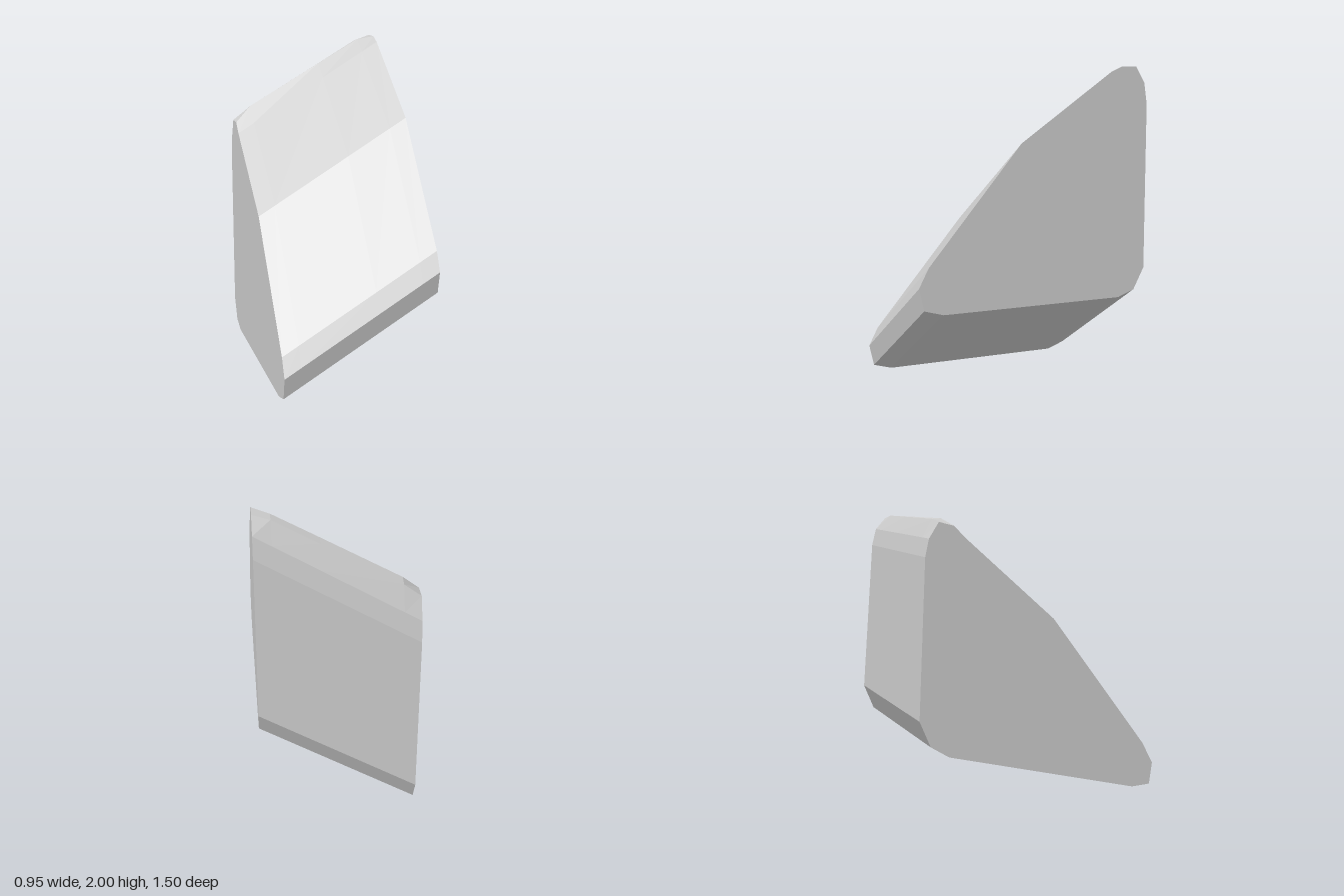
import * as THREE from 'three';

// Cross-section as [z, y], y measured from the sloping base line; clockwise seen from +x
const profile = [
  [0.60, 0.01], [0.72, 0.045], [0.75, 0.18], [0.69, 0.295], [0.10, 0.99],
  [-0.50, 1.40], [-0.57, 1.43], [-0.67, 1.43], [-0.73, 1.33], [-0.75, 1.20],
  [-0.75, 0.18], [-0.68, 0.045], [-0.57, 0.005],
];
const RIDGE = [6, 7]; // the two crest points of the profile

// Stations along x: the crest swells slightly between the two flat ends
const stations = [
  { x: -0.473, swell: 0.03 },
  { x: -0.37, swell: 0.065 },
  { x: 0.1, swell: 0.05 },
  { x: 0.37, swell: 0.04 },
  { x: 0.473, swell: 0 },
];

function shearedBlock() {
  const n = profile.length;
  const pos = [];
  const index = [];
  stations.forEach(({ x, swell }, s) => {
    const inner = s > 0 && s < stations.length - 1;
    const lift = 0.57 * (x + 0.473) / 0.946;
    profile.forEach(([z, y], j) => {
      const crest = RIDGE.includes(j);
      const dz = inner && j === 6 ? -0.045 : 0;
      const dy = crest ? (j === 7 && inner ? swell * 0.7 : swell) : 0;
      pos.push(x, y + lift + dy, z + dz);
    });
  });
  // Side walls
  for (let s = 0; s < stations.length - 1; s++) {
    for (let j = 0; j < n; j++) {
      const k = (j + 1) % n;
      const a = s * n + j, b = a + n, c = (s + 1) * n + k, d = s * n + k;
      index.push(a, b, c, a, c, d);
    }
  }
  // Flat ends
  const last = (stations.length - 1) * n;
  for (let j = 1; j < n - 1; j++) {
    index.push(0, j, j + 1);
    index.push(last, last + j + 1, last + j);
  }
  const geo = new THREE.BufferGeometry();
  geo.setAttribute('position', new THREE.Float32BufferAttribute(pos, 3));
  geo.setIndex(index);
  const flat = geo.toNonIndexed();
  flat.computeVertexNormals();
  return flat;
}

export function createModel() {
  const group = new THREE.Group();
  group.name = 'slantedWedge';
  const grey = new THREE.MeshStandardMaterial({ color: 0xcccccc });
  grey.name = 'plain grey';
  const block = new THREE.Mesh(shearedBlock(), grey);
  block.name = 'wedgeBlock';
  group.add(block);
  return group;
}
